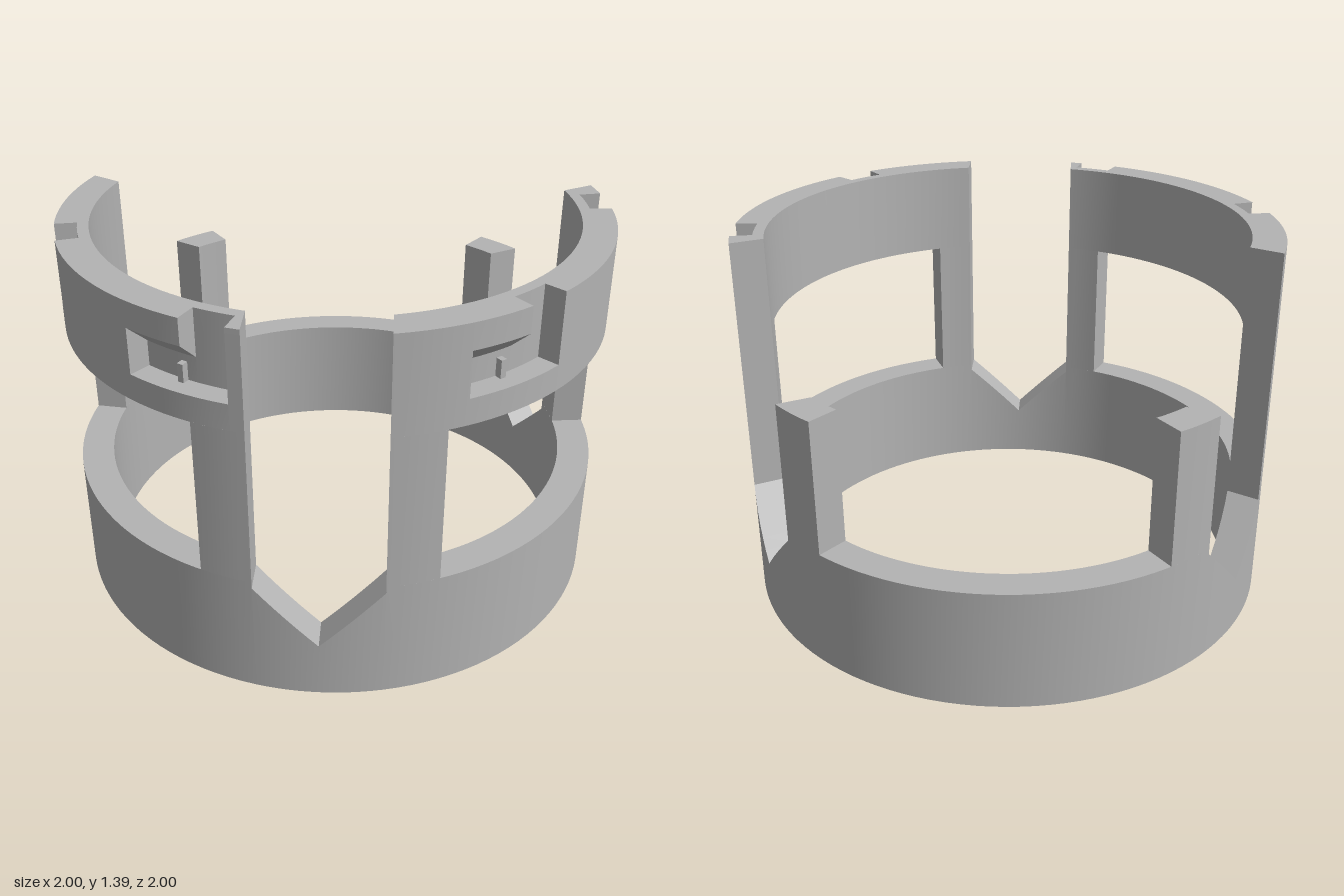
import * as THREE from 'three';
import { mergeGeometries, toCreasedNormals } from 'three/addons/utils/BufferGeometryUtils.js';

const RI = 0.88, RO = 1, RP = 0.92;            // inner, outer and pocket-back radii
const SLOT = 0.222, POST = 23.5;               // slot half width, post end angle
const BASE = 0.455, BAND = 1.035, TOP = 1.39;  // heights
const rad = THREE.MathUtils.degToRad;

// Station planes: each gives the angle at radius r
const radial = deg => () => rad(deg);
const parallel = (deg, t) => r => rad(deg) + Math.asin(t / r);

// Rectangular wall section in (r, y), counter-clockwise
const rect = (lo, hi, ri = RI, ro = RO) => [[ri, lo], [ro, lo], [ro, hi], [ri, hi]];

// Loft a closed section through stations of increasing angle, with end caps
function loft(stations) {
  const pos = [];
  const rings = stations.map(({ ang, sec }) =>
    sec.map(([r, y]) => [r * Math.sin(ang(r)), y, r * Math.cos(ang(r))]));
  const tri = (a, b, c) => pos.push(...a, ...b, ...c);
  const n = rings[0].length;
  for (let i = 0; i < rings.length - 1; i++) {
    for (let j = 0; j < n; j++) {
      const k = (j + 1) % n, p = rings[i], q = rings[i + 1];
      tri(p[j], q[j], q[k]);
      tri(p[j], q[k], p[k]);
    }
  }
  const contour = stations[0].sec.map(([r, y]) => new THREE.Vector2(r, y));
  const first = rings[0], last = rings[rings.length - 1];
  for (const [a, b, c] of THREE.ShapeUtils.triangulateShape(contour, [])) {
    tri(first[a], first[b], first[c]);
    tri(last[c], last[b], last[a]);
  }
  const g = new THREE.BufferGeometry();
  g.setAttribute('position', new THREE.Float32BufferAttribute(pos, 3));
  return g;
}

// Constant section swept between two station planes
function arc(a, b, sec) {
  const steps = Math.max(1, Math.ceil((b(RO) - a(RO)) / rad(3)));
  const stations = [];
  for (let i = 0; i <= steps; i++) {
    const f = i / steps;
    stations.push({ ang: r => a(r) * (1 - f) + b(r) * f, sec });
  }
  return loft(stations);
}

// V-shaped notch floor below a slot
function notch(deg) {
  const stations = [];
  for (let i = -6; i <= 6; i++) {
    const t = SLOT * i / 6;
    stations.push({ ang: parallel(deg, t), sec: rect(0, 0.21 + 0.22 * Math.abs(i) / 6) });
  }
  return loft(stations);
}

export function createModel() {
  const model = new THREE.Group();
  const grey = new THREE.MeshStandardMaterial({ color: 0xb3b3b3 });
  grey.name = 'grey';
  const add = (name, parts) => {
    const mesh = new THREE.Mesh(toCreasedNormals(mergeGeometries(parts), 0.3), grey);
    mesh.name = name;
    model.add(mesh);
  };

  // Base ring with three V notches
  const base = [];
  for (const c of [0, 120, 240]) {
    base.push(notch(c), arc(parallel(c, SLOT), parallel(c + 120, -SLOT), rect(0, BASE)));
  }
  add('baseRing', base);

  // Posts on both sides of each slot; the two rear ones are short and free-standing
  for (const c of [0, 120, 240]) {
    add('post', [arc(parallel(c, SLOT), radial(c + POST), rect(BASE, c === 120 ? 0.96 : BAND))]);
    add('post', [arc(radial(c - POST), parallel(c, -SLOT), rect(BASE, c === 240 ? 0.96 : BAND))]);
  }

  // Upper bands, each with two L-shaped locking pockets open at the top
  const full = rect(BAND, TOP);
  const covered = [[RI, BAND], [RO, BAND], [RO, 1.13], [RP, 1.13], [RP, 1.22], [RO, 1.295], [RO, TOP], [RI, TOP]];
  const open = [[RI, BAND], [RO, BAND], [RO, 1.13], [RP, 1.13], [RP, TOP], [RI, TOP]];
  for (const [c, starts] of [[0, [27.3, 80.6]], [-120, [-90.6, -37]]]) {
    const band = [];
    let from = parallel(c, SLOT);
    for (const s of starts) {
      band.push(
        arc(from, radial(s), full),
        arc(radial(s), radial(s + 12.5), covered),
        arc(radial(s + 12.5), radial(s + 21.4), open));
      from = radial(s + 21.4);
      // Small detent rib inside the pocket
      add('detentRib', [arc(radial(s + 9), radial(s + 10.3), rect(1.13, 1.195, RP, 0.945))]);
    }
    band.push(arc(from, parallel(c + 120, -SLOT), full));
    add('upperBand', band);
  }
  return model;
}
